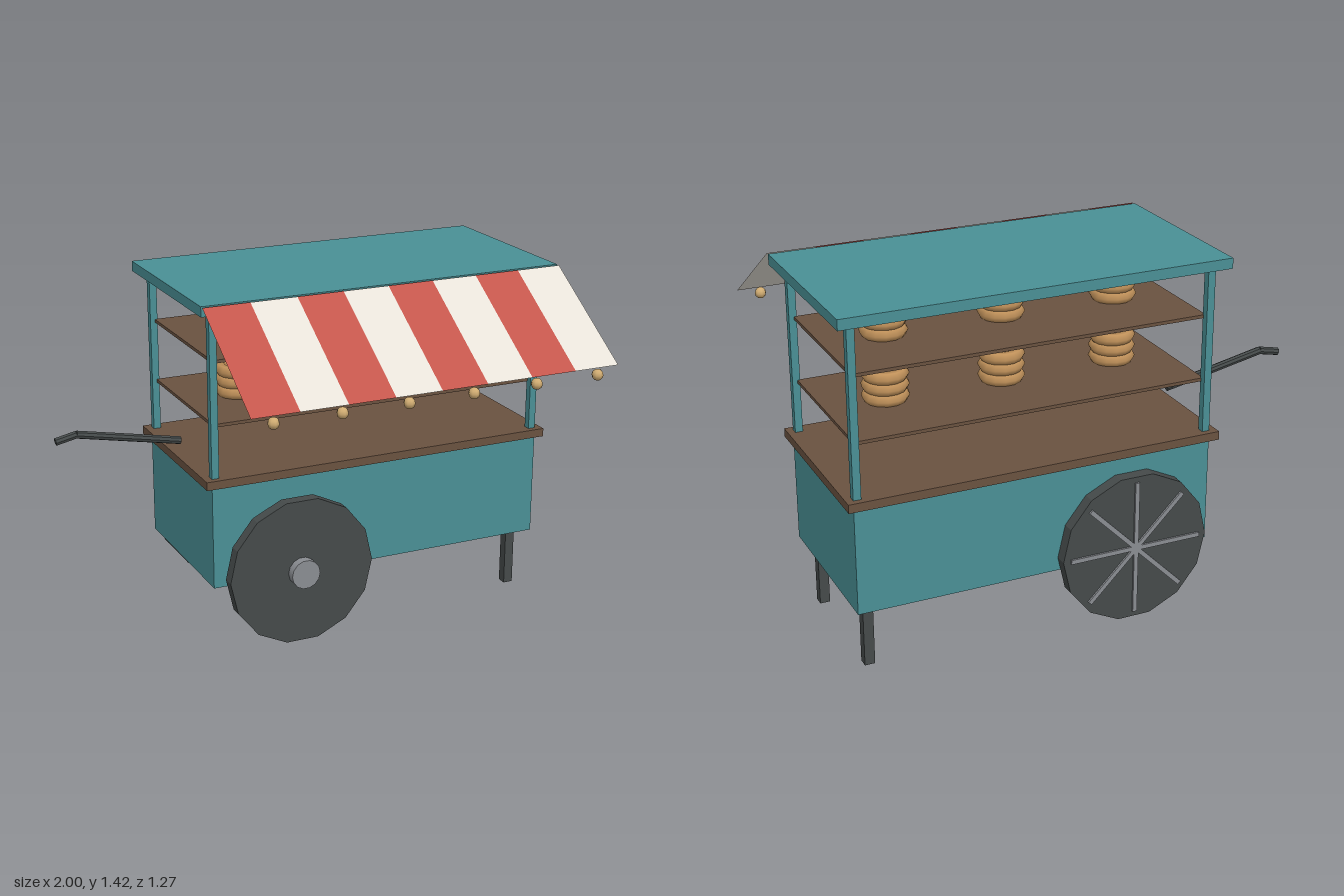
import * as THREE from 'three';

const mat = (name, color, extra = {}) => {
  const m = new THREE.MeshStandardMaterial({ color, ...extra });
  m.name = name;
  return m;
};

export function createModel() {
  const root = new THREE.Group();
  root.name = 'foodCart';

  const teal = mat('teal paint', 0x4a9096);
  const wood = mat('brown wood', 0x6a5240);
  const dark = mat('dark iron', 0x454a4a, { flatShading: true });
  const steel = mat('grey steel', 0x8a8d92);
  const red = mat('red cloth', 0xc4564c, { side: THREE.DoubleSide });
  const cream = mat('cream cloth', 0xe6e1d8, { side: THREE.DoubleSide });
  const bread = mat('baked bread', 0xc0915a);
  const bulb = mat('warm bulb', 0xd0ac72);

  const add = (name, geometry, material, parent = root) => {
    const mesh = new THREE.Mesh(geometry, material);
    mesh.name = name;
    parent.add(mesh);
    return mesh;
  };
  // Box given by its limits on each axis
  const box = (name, material, x0, x1, y0, y1, z0, z1) => {
    const mesh = add(name, new THREE.BoxGeometry(x1 - x0, y1 - y0, z1 - z0), material);
    mesh.position.set((x0 + x1) / 2, (y0 + y1) / 2, (z0 + z1) / 2);
    return mesh;
  };

  // Cabinet, counter, shelves and roof
  box('cabinet', teal, -0.485, 0.955, 0.258, 0.682, -0.575, 0.105);
  box('counter', wood, -0.515, 0.982, 0.682, 0.716, -0.6, 0.13);
  box('lowerShelf', wood, -0.465, 0.935, 0.915, 0.928, -0.55, 0.08);
  box('upperShelf', wood, -0.465, 0.935, 1.17, 1.183, -0.55, 0.08);
  box('roof', teal, -0.53, 1.0, 1.375, 1.416, -0.62, 0.145);

  // Corner posts and the two standing legs
  for (const z of [-0.56, 0.09]) {
    for (const x of [-0.47, 0.94]) {
      box('roofPost', teal, x - 0.015, x + 0.015, 0.716, 1.375, z - 0.015, z + 0.015);
    }
  }
  for (const z of [-0.49, 0.02]) {
    box('leg', dark, 0.875, 0.915, 0, 0.258, z - 0.02, z + 0.02);
  }

  // Wheels: solid discs with a hub on the front face and spokes on the back face
  for (const z of [0.18, -0.6]) {
    const wheel = new THREE.Group();
    wheel.name = 'wheel';
    wheel.position.set(-0.15, 0.31, z);
    root.add(wheel);
    const disc = new THREE.CylinderGeometry(0.305, 0.305, 0.05, 14, 1, false, Math.PI / 2);
    add('wheelDisc', disc.rotateX(Math.PI / 2), dark, wheel);
    const hub = new THREE.CylinderGeometry(0.06, 0.06, 0.04, 14, 1, false, Math.PI / 2);
    add('hub', hub.rotateX(Math.PI / 2), steel, wheel).position.z = 0.042;
    for (let i = 0; i < 4; i++) {
      const spoke = add('spoke', new THREE.BoxGeometry(0.55, 0.018, 0.012), steel, wheel);
      spoke.position.z = -0.027;
      spoke.rotation.z = i * Math.PI / 4;
    }
  }

  // Bent push handle
  const bar = (a, b) => {
    const dir = b.clone().sub(a);
    const rod = add('handleBar', new THREE.CylinderGeometry(0.016, 0.016, dir.length(), 8), dark);
    rod.position.copy(a).add(b).multiplyScalar(0.5);
    rod.quaternion.setFromUnitVectors(new THREE.Vector3(0, 1, 0), dir.normalize());
  };
  const bend = new THREE.Vector3(-0.912, 0.853, -0.235);
  bar(new THREE.Vector3(-0.485, 0.766, -0.235), bend);
  bar(bend, new THREE.Vector3(-0.997, 0.835, -0.235));

  // Sloping striped awning
  const stripes = 8, width = 1.53 / stripes;
  const drop = 0.29, reach = 0.45;
  for (let i = 0; i < stripes; i++) {
    const panel = add('awningStripe', new THREE.PlaneGeometry(width, Math.hypot(drop, reach)), i % 2 ? cream : red);
    panel.rotation.x = -Math.atan2(reach, drop);
    panel.position.set(-0.53 + width * (i + 0.5), 1.27, 0.385);
  }

  // Bulbs along the awning edge and the light rail under the roof
  for (let i = 0; i < 6; i++) {
    add('bulb', new THREE.SphereGeometry(0.023, 8, 6), bulb).position.set(-0.446 + 0.27 * i, 1.1, 0.615);
  }
  box('lightRail', bulb, -0.455, 0.925, 1.343, 1.366, 0.054, 0.076);

  // Stacks of ring breads on both shelves
  for (const shelfY of [0.928, 1.183]) {
    for (const x of [-0.235, 0.232, 0.698]) {
      for (let i = 0; i < 3; i++) {
        const ring = add('ringBread', new THREE.TorusGeometry(0.066, 0.025, 6, 14), bread);
        ring.rotation.x = Math.PI / 2;
        ring.position.set(x, shelfY + 0.021 + i * 0.043, -0.235);
      }
    }
  }

  return root;
}
